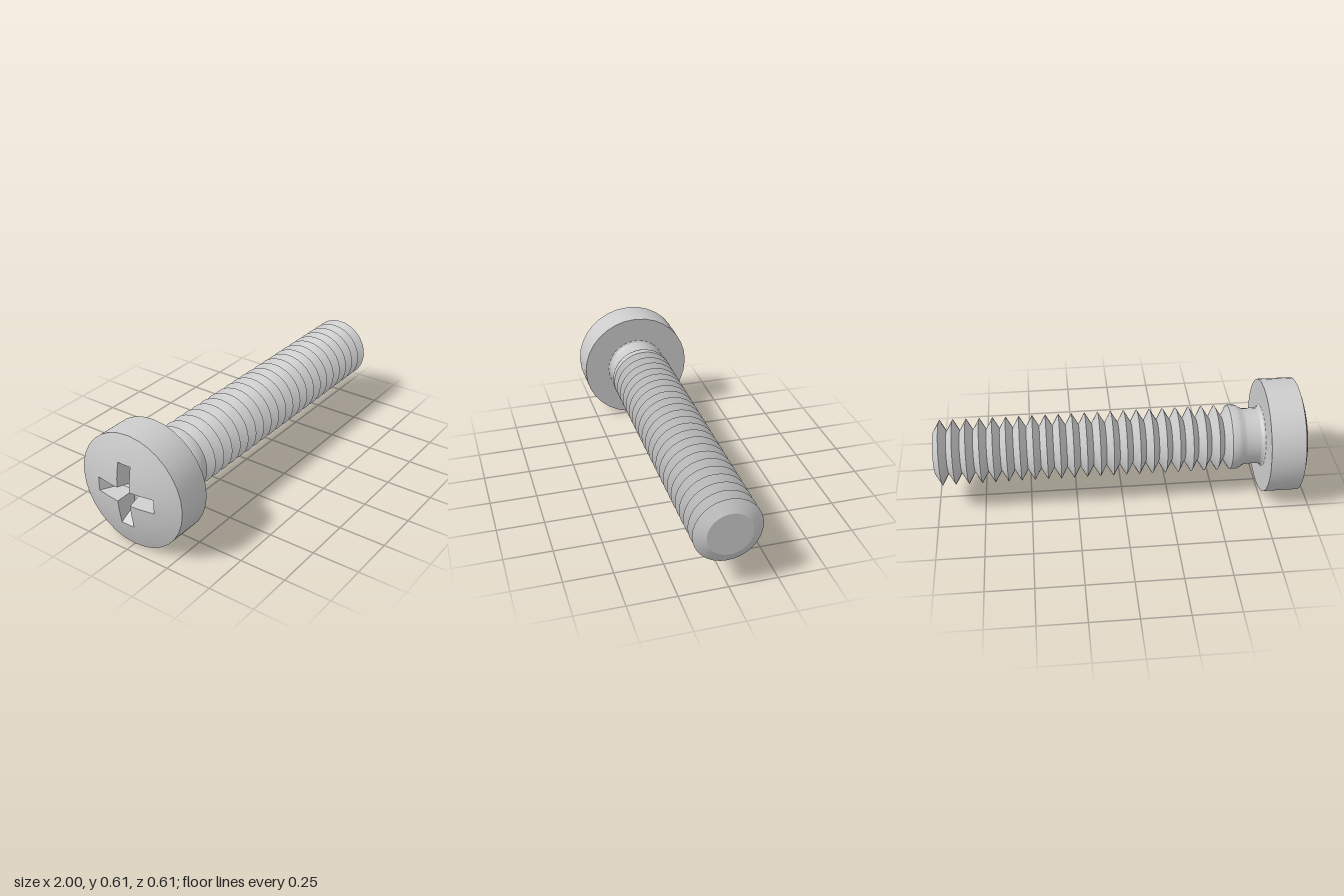
import * as THREE from 'three';
import { toCreasedNormals } from 'three/addons/utils/BufferGeometryUtils.js';

const HEAD_R = 0.307;
const material = new THREE.MeshStandardMaterial({ color: 0xcccccc });

// Solid of revolution about the x axis from [x, radius] pairs
function turned(name, profile) {
  const points = profile.map(([x, r]) => new THREE.Vector2(r, x));
  const geometry = new THREE.LatheGeometry(points, 32).rotateZ(-Math.PI / 2);
  const mesh = new THREE.Mesh(toCreasedNormals(geometry, 0.4), material);
  mesh.name = name;
  return mesh;
}

// Domed head with a tapered cross recess: concentric rings that start as a cross and end as a circle
function createHead() {
  const armLength = 0.17, armWidth = 0.038;
  const tip = Math.atan(armWidth / armLength);
  const angles = [];
  for (let q = 0; q < 4; q++) {
    const base = q * Math.PI / 2;
    angles.push(base - tip, base, base + tip);
    for (let k = 1; k < 6; k++) angles.push(base + tip + (Math.PI / 2 - 2 * tip) * k / 6);
  }
  const crossRadius = a => {
    const t = Math.abs(a - Math.round(a / (Math.PI / 2)) * Math.PI / 2);
    return t <= tip + 1e-6 ? armLength / Math.cos(t) : armWidth / Math.sin(t);
  };
  const domeX = r => -1 + 0.06 * (r / HEAD_R) ** 2;

  // Each ring maps an angle to [x, radius]
  const rings = [
    () => [-0.885, 0],
    a => [-0.9, 0.6 * crossRadius(a)],
    a => [domeX(crossRadius(a)), crossRadius(a)],
  ];
  for (let k = 1; k <= 6; k++) {
    rings.push(a => {
      const r = THREE.MathUtils.lerp(crossRadius(a), HEAD_R, k / 6);
      return [domeX(r), r];
    });
  }
  rings.push(() => [-0.757, HEAD_R], () => [-0.757, 0]);

  const n = angles.length, positions = [], index = [];
  rings.forEach((ring, j) => angles.forEach((a, i) => {
    const [x, r] = ring(a);
    positions.push(x, r * Math.cos(a), r * Math.sin(a));
    if (j === rings.length - 1) return;
    const p = j * n + i, q = j * n + (i + 1) % n;
    if (j > 0) index.push(p, q, p + n);
    if (j < rings.length - 2) index.push(q, q + n, p + n);
  }));
  const geometry = new THREE.BufferGeometry();
  geometry.setAttribute('position', new THREE.Float32BufferAttribute(positions, 3));
  geometry.setIndex(index);
  const mesh = new THREE.Mesh(toCreasedNormals(geometry, 0.4), material);
  mesh.name = 'head';
  return mesh;
}

export function createModel() {
  const model = new THREE.Group();
  model.name = 'screw';

  // Plain neck with a fillet under the head and a collar before the thread
  const neck = turned('neck', [
    [-0.757, 0.168], [-0.75, 0.158], [-0.738, 0.152], [-0.665, 0.152], [-0.65, 0.157],
    [-0.632, 0.169], [-0.615, 0.175], [-0.581, 0.175], [-0.546, 0.115],
  ]);

  // Thread ridges, closed by a flat end
  const pitch = 0.0703, count = 22, start = 1 - count * pitch;
  const ridges = [[start, 0.115]];
  for (let i = 0; i < count; i++) {
    ridges.push([start + (i + 0.5) * pitch, 0.175], [start + (i + 1) * pitch, 0.115]);
  }
  ridges.push([1, 0]);

  model.add(createHead(), neck, turned('thread', ridges));
  model.children.forEach(part => { part.position.y = HEAD_R; });
  return model;
}
